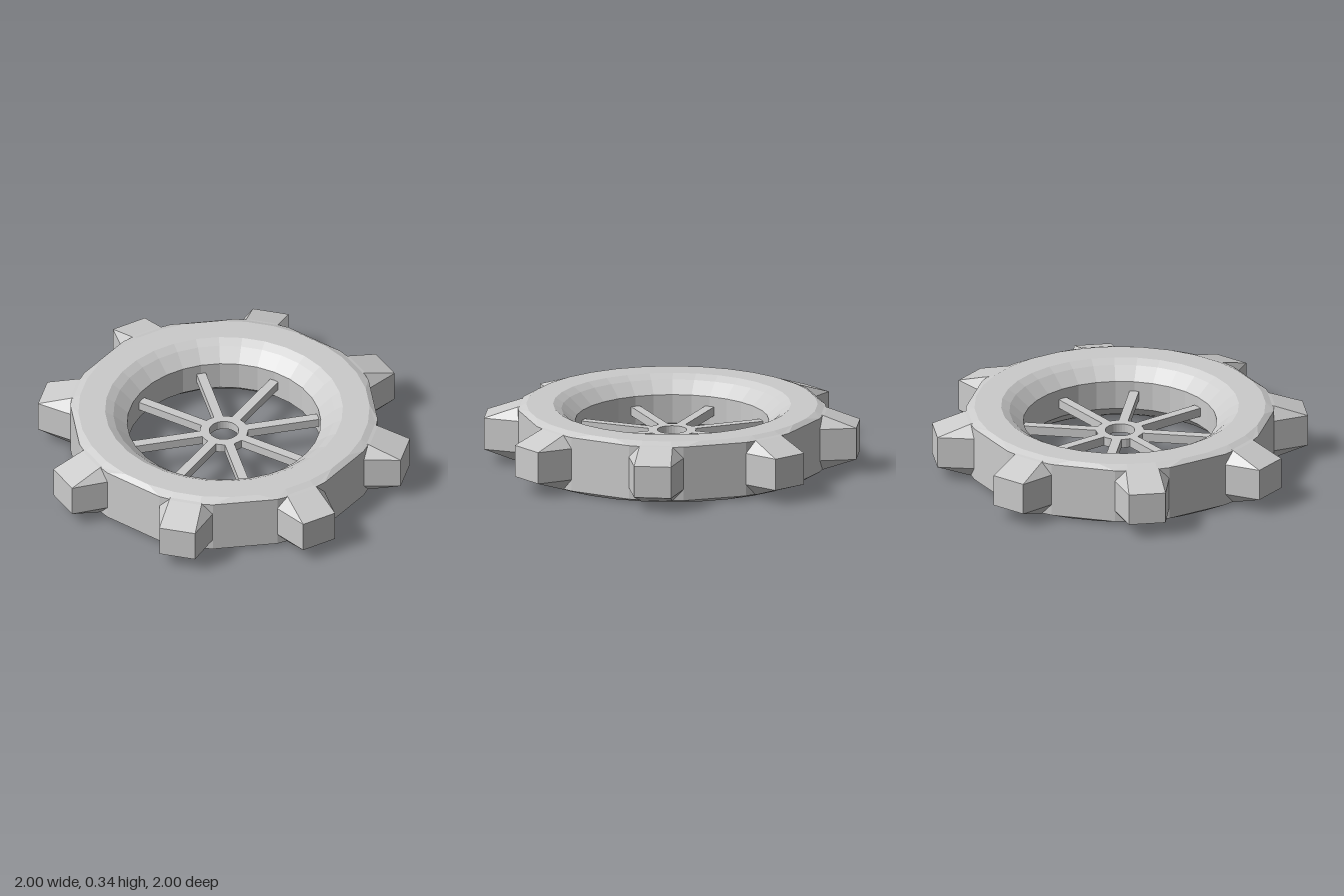
import * as THREE from 'three';
import { ConvexGeometry } from 'three/addons/geometries/ConvexGeometry.js';

const TEETH = 8;
const STEP = (Math.PI * 2) / TEETH;
const MID = 0.17; // height of the wheel's middle plane
const deg = THREE.MathUtils.degToRad;
const FIRST_TOOTH = deg(16.875);
const FIRST_SPOKE = deg(33.75);

const material = new THREE.MeshStandardMaterial({ color: 0xcccccc, flatShading: true });

function mesh(name, geometry) {
  const m = new THREE.Mesh(geometry, material);
  m.name = name;
  return m;
}

// Rim: a closed section swept through four columns per tooth. The outer wall
// bunches its columns under the teeth, leaving one flat panel between them.
function rimGeometry() {
  const even = [-16.875, -5.625, 5.625, 16.875];
  const bunched = [-10.3, -5.6, 5.6, 10.3];
  const half = [[0.835, 0.15, bunched], [0.79, 0.17, even], [0.645, 0.17, even], [0.6, 0.145, even], [0.525, 0.08, even]];
  const section = [...half, ...half.map(([r, y, c]) => [r, -y, c]).reverse()];
  const n = section.length;
  const columns = TEETH * 4;
  const positions = [];
  const index = [];
  for (let i = 0; i < columns; i++) {
    for (const [r, y, offsets] of section) {
      const a = FIRST_TOOTH + Math.floor(i / 4) * STEP + deg(offsets[i % 4]);
      positions.push(r * Math.cos(a), y, r * Math.sin(a));
    }
    const next = (i + 1) % columns;
    for (let j = 0; j < n; j++) {
      const k = (j + 1) % n;
      const a = i * n + j, b = i * n + k, c = next * n + k, d = next * n + j;
      index.push(a, b, d, b, c, d);
    }
  }
  const g = new THREE.BufferGeometry();
  g.setAttribute('position', new THREE.Float32BufferAttribute(positions, 3));
  g.setIndex(index);
  g.computeVertexNormals();
  return g;
}

// Tooth: tapered block with sloping top and bottom, pointing along +x
function toothGeometry() {
  const corners = [[1.015, 0.0875, 0.1], [0.82, 0.0875, 0.149], [0.838, 0.15, 0.09], [0.78, 0.165, 0.085]];
  const points = [];
  for (const [x, y, z] of corners)
    for (const sy of [-1, 1])
      for (const sz of [-1, 1]) points.push(new THREE.Vector3(x, y * sy, z * sz));
  return new ConvexGeometry(points);
}

// Hub: short ring around the axle hole
function hubGeometry() {
  const profile = [[0.08, -0.025], [0.13, -0.025], [0.13, 0.025], [0.08, 0.025], [0.08, -0.025]];
  return new THREE.LatheGeometry(profile.map(([r, y]) => new THREE.Vector2(r, y)), 32);
}

export function createModel() {
  const wheel = new THREE.Group();
  wheel.name = 'gearWheel';
  wheel.add(mesh('rim', rimGeometry()), mesh('hub', hubGeometry()));

  const tooth = toothGeometry();
  const spoke = new THREE.BoxGeometry(0.42, 0.05, 0.052).translate(0.325, 0, 0);
  for (let i = 0; i < TEETH; i++) {
    const t = mesh('tooth', tooth);
    t.rotation.y = -(FIRST_TOOTH + i * STEP);
    const s = mesh('spoke', spoke);
    s.rotation.y = -(FIRST_SPOKE + i * STEP);
    wheel.add(t, s);
  }
  wheel.position.y = MID;

  const model = new THREE.Group();
  model.name = 'model';
  model.add(wheel);
  return model;
}
